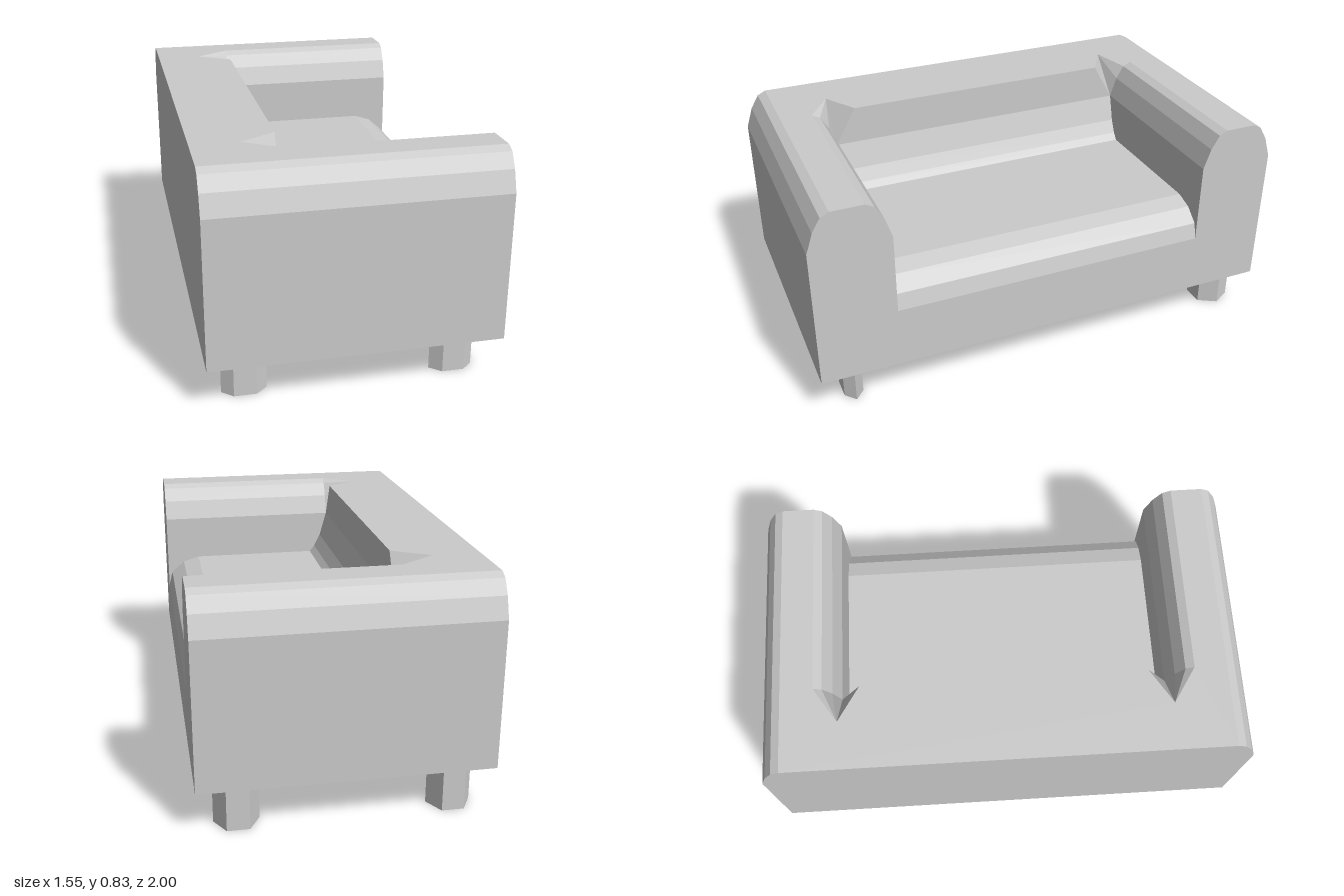
import * as THREE from 'three';

const BASE = 0.163, TOP = 0.83, FRONT = 0.505, BACK = -0.505;
const OUT = 0.878, INNER = 0.592;      // outer and inner faces of the arms
const WALL = -0.208;                   // front face of the backrest

// Rounded arm section as [distance from arm face, height]
const ROUND = [[0, 0.69], [0.025, 0.765], [0.055, 0.815], [0.085, TOP]];
const outerRound = ROUND.map(([d, y]) => [OUT - d, y]);
const innerRound = ROUND.map(([d, y]) => [INNER + d, y]).reverse();

// Seat section as [depth, height], from the front edge to the backrest
const SEAT = [[FRONT, 0.39], [0.49, 0.45], [0.437, 0.495], [0.372, 0.515],
  [-0.135, 0.515], [-0.155, 0.54], [-0.18, 0.59], [WALL, 0.69]];

const material = new THREE.MeshStandardMaterial({
  color: 0xcccccc, flatShading: true, side: THREE.DoubleSide,
});

function mesh(name, geometry) {
  const m = new THREE.Mesh(geometry, material);
  m.name = name;
  return m;
}

// Ruled sheet between two polylines of equal length
function sheet(a, b) {
  const pos = [];
  for (let i = 0; i < a.length - 1; i++) {
    pos.push(...a[i], ...b[i + 1], ...b[i]);
    if (a[i] !== a[i + 1]) pos.push(...a[i], ...a[i + 1], ...b[i + 1]);
  }
  const g = new THREE.BufferGeometry();
  g.setAttribute('position', new THREE.Float32BufferAttribute(pos, 3));
  g.computeVertexNormals();
  return g;
}

function flat(points) {
  return new THREE.ShapeGeometry(new THREE.Shape(points.map(([x, y]) => new THREE.Vector2(x, y))));
}

// Closes a half outline with its mirror image across the first or second axis
function mirrored(half, axis) {
  const other = half.map(([x, y]) => (axis === 0 ? [-x, y] : [x, -y])).reverse();
  return [...half, ...other];
}

// One arm, on the -z side
function arm() {
  const g = new THREE.Group();
  const at = (x, pts) => pts.map(([z, y]) => [x, y, -z]);
  const outer = [[OUT, BASE], ...outerRound];
  g.add(mesh('armOuterSide', sheet(at(BACK, outer), at(FRONT, outer))));
  g.add(mesh('armInnerRounding', sheet(at(WALL, innerRound), at(FRONT, innerRound))));

  const inside = flat([...SEAT, [FRONT, 0.69]]);
  inside.translate(0, 0, -INNER);
  g.add(mesh('armInnerSide', inside));

  // Crease where the rounding runs out into the backrest
  const rim = [...at(WALL, innerRound), [WALL, TOP, -0.512]];
  const apex = [-0.335, TOP, -INNER];
  g.add(mesh('cornerCrease', sheet(rim.map(() => apex), rim)));
  return g;
}

// Hollow six-sided leg with a corner pointing forward
function leg(name, x, z, zScale) {
  const g = new THREE.CylinderGeometry(0.078, 0.078, BASE, 6, 1, true);
  g.rotateY(Math.PI / 2);
  g.scale(1, 1, zScale);
  g.translate(x, BASE / 2, z);
  return mesh(name, g);
}

export function createModel() {
  const model = new THREE.Group();
  model.name = 'sofa';
  const body = new THREE.Group();
  body.name = 'body';
  body.rotation.y = -Math.PI / 9;
  model.add(body);

  // Arms
  const rightArm = arm();
  rightArm.name = 'rightArm';
  const leftArm = arm();
  leftArm.name = 'leftArm';
  leftArm.scale.z = -1;
  body.add(rightArm, leftArm);

  // Front panel with the cut-out above the seat edge
  const front = flat(mirrored([[OUT, BASE], ...outerRound, ...innerRound, [INNER, 0.39]], 0));
  front.rotateY(Math.PI / 2);
  front.translate(FRONT, 0, 0);
  body.add(mesh('frontPanel', front));

  // Back panel
  const back = flat(mirrored([[OUT, BASE], ...outerRound], 0));
  back.rotateY(-Math.PI / 2);
  back.translate(BACK, 0, 0);
  body.add(mesh('backPanel', back));

  // Flat top of the backrest and arms
  const crest = OUT - 0.085, lip = INNER + 0.085;
  const top = flat(mirrored([[BACK, crest], [FRONT, crest], [FRONT, lip], [WALL, lip],
    [-0.335, INNER], [WALL, 0.512]], 1));
  top.rotateX(-Math.PI / 2);
  top.translate(0, TOP, 0);
  body.add(mesh('flatTop', top));

  // Seat and front of the backrest in one sheet
  const row = (s) => [...SEAT.map(([x, y]) => [x, y, s * INNER]), [WALL, TOP, s * 0.512]];
  body.add(mesh('seatAndBackrest', sheet(row(-1), row(1))));

  // Legs: the pair under the left arm is slimmer
  for (const [x, end] of [[0.366, 'front'], [-0.368, 'back']]) {
    body.add(leg(end + 'RightLeg', x, -0.78, 1));
    body.add(leg(end + 'LeftLeg', x, 0.749, 0.52));
  }
  return model;
}
